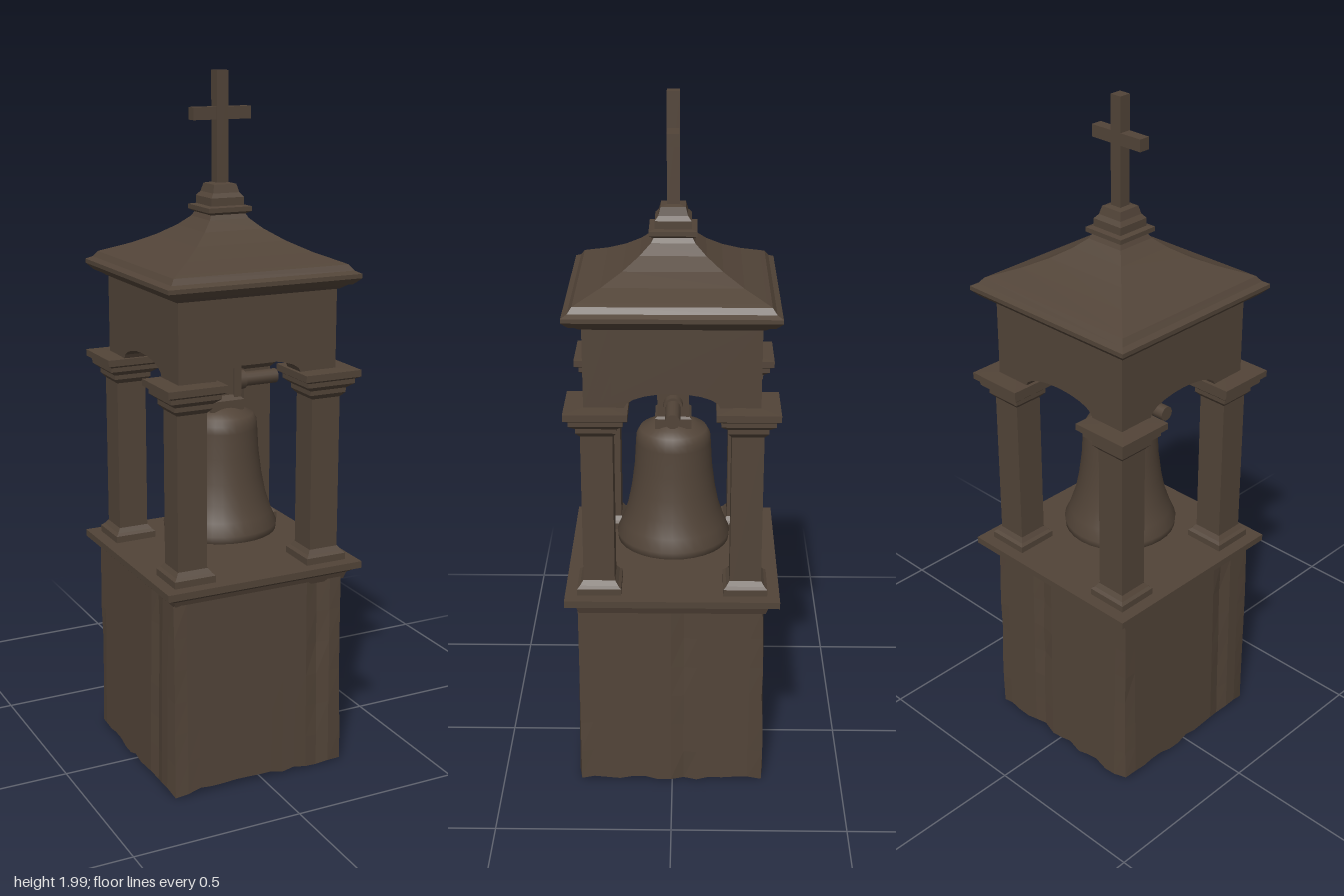
import * as THREE from 'three';

const stone = new THREE.MeshStandardMaterial({ color: 0x524438, side: THREE.DoubleSide });
stone.name = 'dark brown stone';

function flat(geometry) {
  const g = geometry.index ? geometry.toNonIndexed() : geometry;
  g.computeVertexNormals();
  return g;
}

function part(name, geometry, parent, x = 0, y = 0, z = 0) {
  const m = new THREE.Mesh(geometry, stone);
  m.name = name;
  m.position.set(x, y, z);
  parent.add(m);
  return m;
}

// square moulding: profile points are [half width, height]
function squareLoft(profile) {
  const g = new THREE.LatheGeometry(profile.map(([r, y]) => new THREE.Vector2(r * Math.SQRT2, y)), 4);
  g.rotateY(Math.PI / 4);
  return flat(g);
}

function seeded(seed) {
  return () => (seed = (seed * 16807) % 2147483647) / 2147483647;
}

// hollow worn walls with a broken lower edge and a few shallow cracks
function wornWalls() {
  const rand = seeded(41);
  const n = 14, half = 0.265, levels = 6, pos = [], idx = [];
  const cracks = { '0:12': 0.012, '1:8': 0.012, '2:5': 0.008, '3:11': 0.01 };
  const bottoms = Array.from({ length: n * 4 }, () => 0.006 + rand() * 0.018);
  for (let j = 0; j <= levels; j++) {
    const t = j / levels;
    for (let s = 0; s < 4; s++) {
      for (let i = 0; i < n; i++) {
        const u = -half + (2 * half * i) / n;
        const crack = (cracks[s + ':' + i] || 0) * (0.4 + 0.6 * rand());
        const out = half + 0.008 * (1 - t) - crack - (i === 0 ? rand() * 0.006 : 0);
        const a = (s * Math.PI) / 2;
        const y = THREE.MathUtils.lerp(bottoms[s * n + i], 0.585, t);
        pos.push(u * Math.cos(a) + out * Math.sin(a) - 0.008, y, out * Math.cos(a) - u * Math.sin(a) + 0.004);
      }
    }
  }
  const ring = n * 4;
  for (let j = 0; j < levels; j++) {
    for (let i = 0; i < ring; i++) {
      const a = j * ring + i, b = j * ring + ((i + 1) % ring);
      idx.push(a, b, b + ring, a, b + ring, a + ring);
    }
  }
  const g = new THREE.BufferGeometry();
  g.setAttribute('position', new THREE.Float32BufferAttribute(pos, 3));
  g.setIndex(idx);
  return flat(g);
}

// wall panel with a shallow arch cut from its lower edge
function archPanel() {
  const s = new THREE.Shape();
  s.moveTo(-0.24, 1.19);
  s.lineTo(-0.13, 1.19);
  for (let i = 0; i <= 10; i++) {
    const a = Math.PI * (1 - i / 10);
    s.lineTo(0.13 * Math.cos(a), 1.195 + 0.042 * Math.sin(a));
  }
  s.lineTo(0.13, 1.19);
  s.lineTo(0.24, 1.19);
  s.lineTo(0.24, 1.43);
  s.lineTo(-0.24, 1.43);
  s.closePath();
  const g = new THREE.ExtrudeGeometry(s, { depth: 0.075, bevelEnabled: false });
  g.translate(0, 0, 0.165);
  return g;
}

export function createModel() {
  const model = new THREE.Group();
  model.name = 'bellTower';

  // base and ledge
  part('baseWalls', wornWalls(), model);
  part('ledge', squareLoft([[0, 0.577], [0.265, 0.577], [0.272, 0.598], [0.29, 0.61], [0.303, 0.615],
    [0.303, 0.635], [0, 0.638]]), model);

  // four columns with feet and capitals
  const shaft = new THREE.BoxGeometry(0.088, 0.5, 0.088);
  const foot = squareLoft([[0.062, 0.634], [0.062, 0.655], [0.054, 0.662], [0.045, 0.675]]);
  const capital = squareLoft([[0.043, 1.115], [0.056, 1.13], [0.056, 1.143], [0.074, 1.157], [0.074, 1.17],
    [0.087, 1.177], [0.087, 1.196], [0, 1.198]]);
  for (const sx of [-1, 1]) {
    for (const sz of [-1, 1]) {
      const column = new THREE.Group();
      column.name = 'column';
      column.position.set(sx * 0.206, 0, sz * 0.206);
      part('shaft', shaft, column, 0, 0.885, 0);
      part('foot', foot, column);
      part('capital', capital, column);
      model.add(column);
    }
  }

  // arched walls under the roof
  const panel = archPanel();
  for (let i = 0; i < 4; i++) part('archWall', panel, model).rotation.y = (i * Math.PI) / 2;

  // cornice and sweeping roof
  part('roof', squareLoft([[0, 1.42], [0.245, 1.42], [0.262, 1.432], [0.272, 1.434], [0.29, 1.452], [0.29, 1.464],
    [0.274, 1.472], [0.262, 1.488], [0.248, 1.494], [0.19, 1.517], [0.135, 1.545], [0.09, 1.575],
    [0.06, 1.602], [0.05, 1.62]]), model);

  // finial and cross
  part('finial', squareLoft([[0.045, 1.61], [0.066, 1.622], [0.066, 1.635], [0.05, 1.638], [0.05, 1.66],
    [0.04, 1.672], [0.034, 1.695], [0, 1.702]]), model);
  part('crossPost', new THREE.BoxGeometry(0.035, 0.31, 0.035), model, 0, 1.845, 0);
  part('crossBar', new THREE.BoxGeometry(0.174, 0.034, 0.033), model, 0, 1.886, 0);

  // bell, open below, with a thick lip
  const bellProfile = [[0.15, 0.7], [0.155, 0.692], [0.163, 0.695], [0.165, 0.715], [0.15, 0.75], [0.133, 0.8],
    [0.121, 0.86], [0.112, 0.93], [0.108, 1.0], [0.106, 1.022], [0.096, 1.04], [0.07, 1.052], [0.05, 1.066],
    [0, 1.07]];
  part('bell', new THREE.LatheGeometry(bellProfile.map(([r, y]) => new THREE.Vector2(r, y)), 32), model);

  // hanger straps and round cross beam
  part('hangerFoot', squareLoft([[0.052, 1.055], [0.052, 1.085], [0.036, 1.1]]), model);
  part('hangerBlock', new THREE.BoxGeometry(0.07, 0.15, 0.075), model, 0, 1.145, 0);
  for (const sx of [-1, 1]) {
    part('hangerStrap', new THREE.BoxGeometry(0.022, 0.125, 0.09), model, sx * 0.035, 1.145, 0);
    const collar = part('beamCollar', new THREE.CylinderGeometry(0.028, 0.028, 0.03, 14), model, sx * 0.06, 1.13, 0);
    collar.rotation.z = Math.PI / 2;
  }
  part('hangerTop', new THREE.BoxGeometry(0.035, 0.03, 0.05), model, 0, 1.224, 0);
  const beam = part('beam', new THREE.CylinderGeometry(0.021, 0.021, 0.36, 14), model, 0, 1.13, 0);
  beam.rotation.z = Math.PI / 2;

  return model;
}
